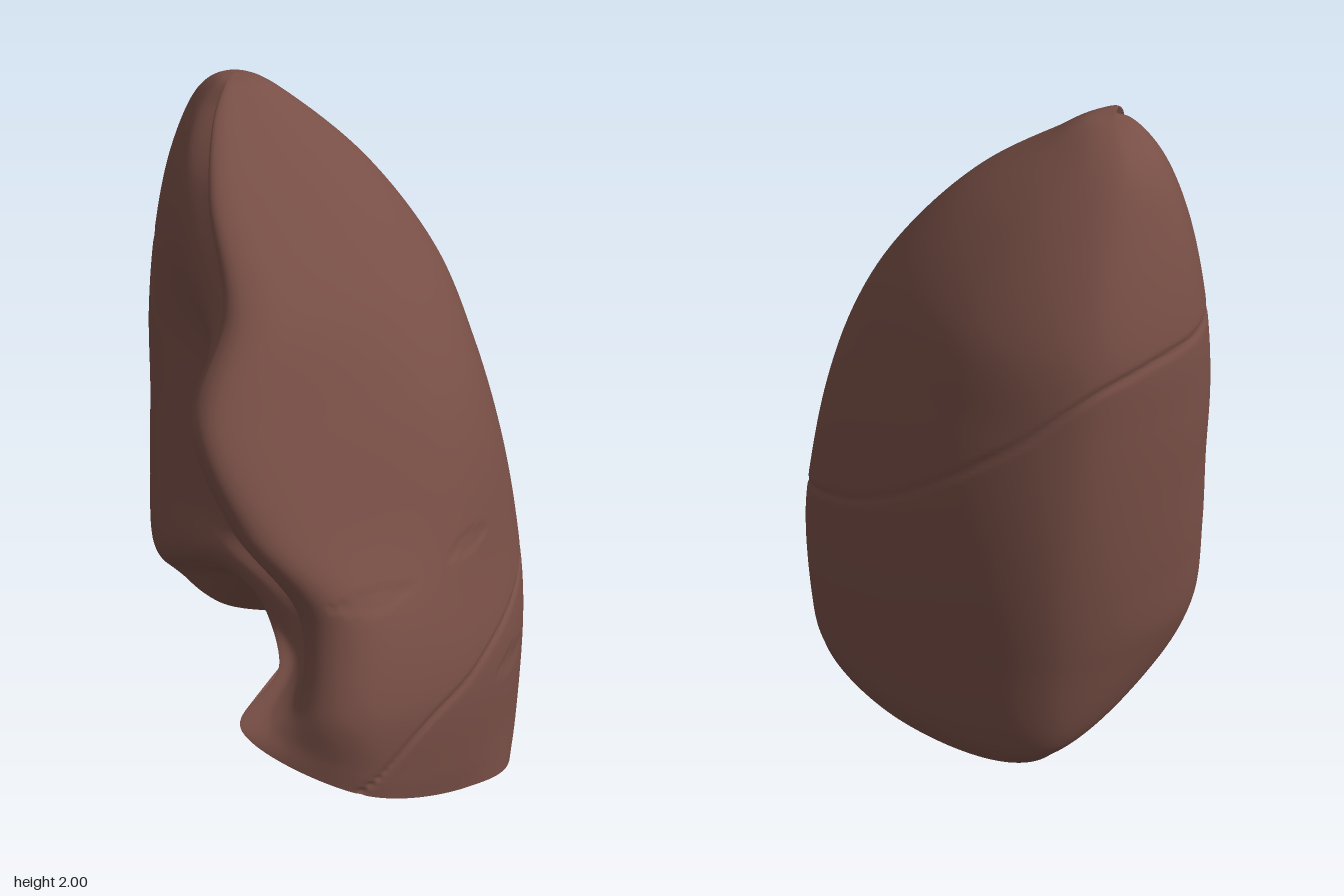
import * as THREE from 'three';

const COLS = 200, ROWS = 220, BASE_ROWS = 30;
const V = (x, y, z) => new THREE.Vector3(x, y, z);

// Bean-shaped outline fitted between the sides of one level; edge is the x of the medial front edge
function outline(y, left, right, back, front, edge, hollow = 0.18) {
  const w = right - left, d = front - back;
  const at = (u, v) => V(left + u * w, y, back + v * d);
  return [
    at(0, 0.96).setX(edge),             // medial front edge
    at(0, 1).setX(edge + 0.18 * w),     // front
    at(0.81, 0.83),                     // front side
    at(1, 0.55),                        // outer side
    at(0.83, 0.19),                     // rear side
    at(0.48, 0),                        // rear
    at(0.12, 0.09),                     // inner rear
    at(0, 0.3),                         // inner ridge
    at(hollow, 0.56),                   // hilum hollow
    at(0, 0.75).setX(edge + 0.04),      // heart hollow
  ];
}

const apex = V(-0.27, 2, -0.36);
const shoulder = outline(1.92, -0.38, -0.09, -0.55, -0.17, -0.34, 0.05);

// Lower rim in the same order, rising toward the lingula and the inner side
const rim = [
  V(-0.35, 0.42, 0.68), V(-0.03, 0.26, 0.79), V(0.32, 0.08, 0.52), V(0.5, 0, 0.2), V(0.33, 0.055, -0.36),
  V(-0.03, 0.045, -0.6), V(-0.33, 0.22, -0.4), V(-0.47, 0.42, -0.3), V(-0.3, 0.58, 0.05), V(-0.22, 0.47, 0.4),
];
const waist = outline(0.5, -0.55, 0.545, -0.76, 0.79, -0.19)
  .map((p, k) => p.setY(Math.max(p.y, rim[k].y + 0.09)));
// Rounded turn just above the rim
const turn = waist.map((p, k) =>
  p.clone().lerp(rim[k], 0.42).setY(THREE.MathUtils.lerp(p.y, rim[k].y, 0.75)));

const sections = [
  shoulder.map(p => p.clone().lerp(apex, 0.56).setY(1.985)),
  shoulder,
  outline(1.75, -0.455, 0.12, -0.66, 0.07, -0.37, 0.05),
  outline(1.5, -0.51, 0.31, -0.76, 0.32, -0.35, 0.09),
  outline(1.25, -0.535, 0.41, -0.79, 0.51, -0.45),
  outline(1, -0.54, 0.48, -0.8, 0.63, -0.36),
  outline(0.75, -0.55, 0.525, -0.79, 0.71, -0.18),
  waist, turn, rim,
];

// Height of the oblique fissure, from the front round the outside to the inner ridge
const fissure = new THREE.CatmullRomCurve3(
  [0.27, 0.42, 0.49, 0.57, 0.67, 0.81, 1, 1.2, 1.38, 1.45, 1.47, 1.48, 1.48].map((y, i) => V(i, y, 0)),
  false, 'catmullrom');

// Shallow leaf-shaped slits: position along x - z, height, half length
const slits = [[-0.64, 0.81, 0.18], [-0.09, 0.84, 0.16], [0.13, 0.41, 0.16]];

function carve(p, u) {
  let depth = 0;
  if (u >= 0.1 && u <= 0.7) {
    const d = (p.y - fissure.getPoint((u - 0.1) / 0.6).y) / 0.011;
    depth += 0.009 * Math.exp(-d * d);
  }
  if (u > 0.03 && u < 0.35) {
    for (const [s, y, half] of slits) {
      const a = (p.x - p.z - s) / half;
      if (Math.abs(a) < 1 && Math.abs(p.y - y) < 0.028 * (1 - a * a)) depth += 0.004;
    }
  }
  const inward = V(-0.1 - p.x, 0, -0.1 - p.z).normalize();
  return p.addScaledVector(inward, depth);
}

// Smooth skin through closed rings, ordered from top to bottom
function skin(rings) {
  const index = [];
  for (let i = 0; i < rings.length - 1; i++) {
    for (let j = 0; j < COLS; j++) {
      const a = i * COLS + j, b = i * COLS + (j + 1) % COLS;
      index.push(a, a + COLS, b, b, a + COLS, b + COLS);
    }
  }
  const g = new THREE.BufferGeometry().setFromPoints(rings.flat());
  g.setIndex(index);
  g.computeVertexNormals();
  return g;
}

export function createModel() {
  const group = new THREE.Group();
  group.name = 'lung';
  const tissue = new THREE.MeshStandardMaterial({ color: 0x784f46 });
  tissue.name = 'lung tissue';

  // Meridians from the apex down to the rim
  const loops = sections.map(s => new THREE.CatmullRomCurve3(s, true, 'catmullrom', 0.5));
  const meridians = Array.from({ length: COLS }, (_, j) =>
    new THREE.CatmullRomCurve3([apex, ...loops.map(l => l.getPoint(j / COLS))], false, 'centripetal'));
  const rings = Array.from({ length: ROWS + 1 }, (_, i) =>
    meridians.map((m, j) => carve(m.getPoint(i / ROWS), j / COLS)));

  const lobes = new THREE.Mesh(skin(rings), tissue);
  lobes.name = 'lobes';
  group.add(lobes);

  // Hollow underside, domed up from the rim
  const crown = V(0, 0.48, 0.05);
  const baseRings = Array.from({ length: BASE_ROWS + 1 }, (_, i) => {
    const t = i / BASE_ROWS, rise = 1 - (1 - t) ** 2;
    return rings[ROWS].map(p => p.clone().lerp(crown, t).setY(p.y + (crown.y - p.y) * rise));
  });
  const base = new THREE.Mesh(skin(baseRings), tissue);
  base.name = 'diaphragmBase';
  group.add(base);
  return group;
}
